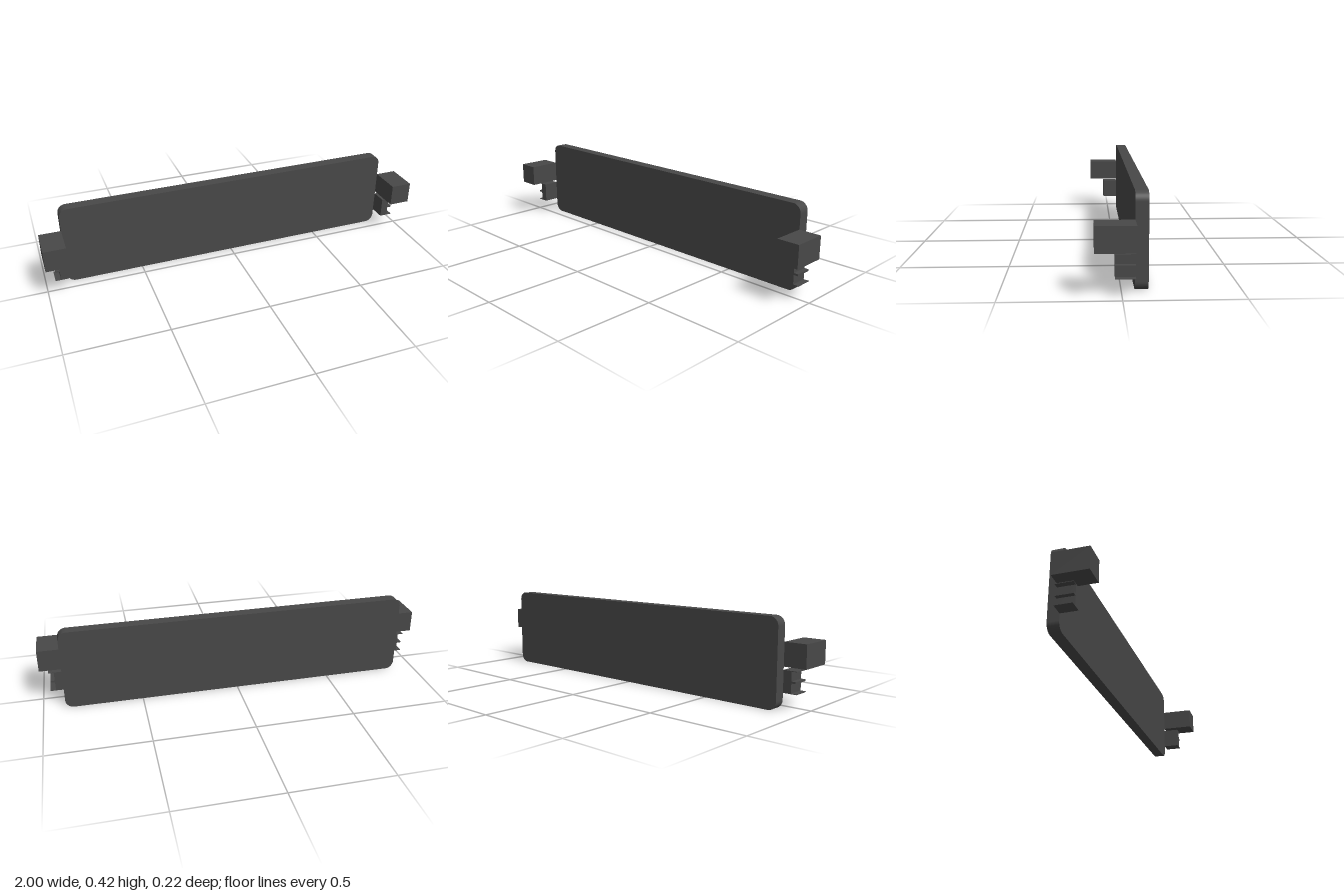
import * as THREE from 'three';

export function createModel() {
  const model = new THREE.Group();
  const darkGrey = new THREE.MeshStandardMaterial({ color: 0x484848 });
  darkGrey.name = 'darkGrey';

  // Box given by its minimum and maximum corners
  function box(parent, name, [x0, y0, z0], [x1, y1, z1]) {
    const mesh = new THREE.Mesh(new THREE.BoxGeometry(x1 - x0, y1 - y0, z1 - z0), darkGrey);
    mesh.position.set((x0 + x1) / 2, (y0 + y1) / 2, (z0 + z1) / 2);
    mesh.name = name;
    parent.add(mesh);
  }

  // Long back panel with rounded corners
  const w = 0.89, h = 0.418, r = 0.042;
  const outline = new THREE.Shape();
  outline.moveTo(-w + r, 0);
  outline.absarc(w - r, r, r, -Math.PI / 2, 0);
  outline.absarc(w - r, h - r, r, 0, Math.PI / 2);
  outline.absarc(-w + r, h - r, r, Math.PI / 2, Math.PI);
  outline.absarc(-w + r, r, r, Math.PI, Math.PI * 1.5);
  const panelGeometry = new THREE.ExtrudeGeometry(outline, { depth: 0.056, bevelEnabled: false, curveSegments: 8 });
  panelGeometry.translate(0, 0, -0.112);
  const panel = new THREE.Mesh(panelGeometry, darkGrey);
  panel.name = 'panel';
  model.add(panel);

  // Mounting block and finned clip at each end
  for (const side of [1, -1]) {
    const end = new THREE.Group();
    end.name = side > 0 ? 'leftEnd' : 'rightEnd';
    const span = (a, b) => (side > 0 ? [a, b] : [-b, -a]);
    const part = (name, xa, xb, y0, y1, z1) => {
      const [x0, x1] = span(xa, xb);
      box(end, name, [x0, y0, -0.056], [x1, y1, z1]);
    };
    part('mountingBlock', w, 1, 0.192, 0.303, 0.112);
    part('clipBody', w, 0.93, 0.077, 0.175, 0.028);
    part('lowerFin', w, 0.957, 0.074, 0.077, 0.028);
    part('middleFin', 0.93, 0.951, 0.122, 0.131, 0.028);
    part('upperFin', w, 0.957, 0.175, 0.178, 0.028);
    model.add(end);
  }
  return model;
}
